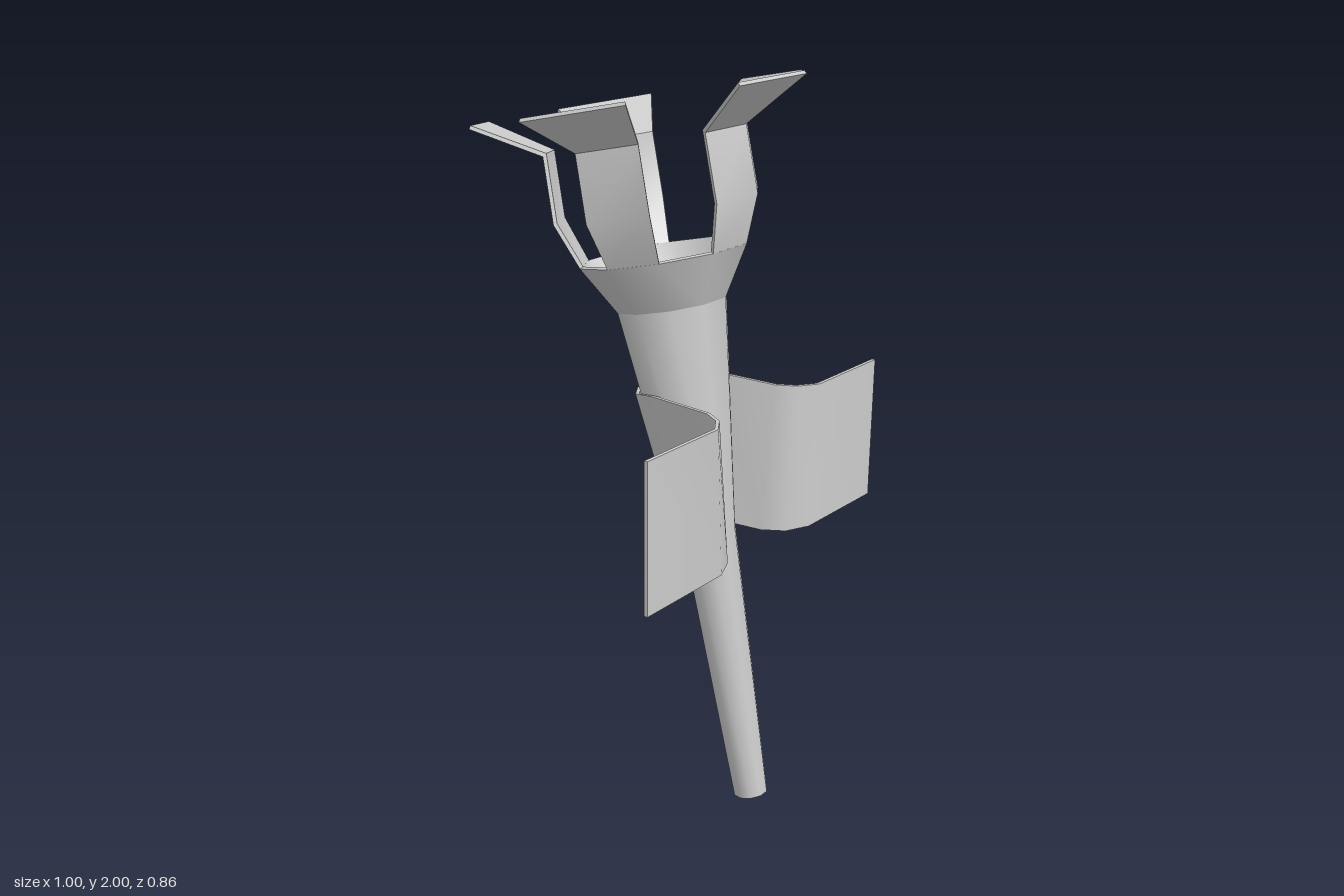
import * as THREE from 'three';
import { toCreasedNormals } from 'three/addons/utils/BufferGeometryUtils.js';

const material = new THREE.MeshStandardMaterial({ color: 0xcccccc });
const SIDES = 10;
const HALF = Math.PI / SIDES; // half the angle of one side
const TILT = 0.21;

function mesh(name, geometry) {
  const m = new THREE.Mesh(toCreasedNormals(geometry, 0.7), material);
  m.name = name;
  return m;
}

// Ten-sided turned part from a [radius, height] profile, flat side to the front
function turned(name, profile) {
  const points = profile.map(([r, y]) => new THREE.Vector2(r, y));
  return mesh(name, new THREE.LatheGeometry(points, SIDES, HALF));
}

// Bent petal: its side profile extruded, then widened with distance from the axis
function petalGeometry() {
  const profile = [
    [0.2175, 0.1325], [0.264, 0.2555], [0.2606, 0.43], [0.4246, 0.528],
    [0.4195, 0.5365], [0.2506, 0.437], [0.254, 0.2575], [0.2085, 0.137],
  ];
  const shape = new THREE.Shape(profile.map(([x, y]) => new THREE.Vector2(x, y)));
  const geometry = new THREE.ExtrudeGeometry(shape, { depth: 1, bevelEnabled: false });
  const p = geometry.attributes.position;
  for (let i = 0; i < p.count; i++) {
    p.setZ(i, (p.getZ(i) * 2 - 1) * p.getX(i) * Math.tan(HALF));
  }
  geometry.computeVertexNormals();
  return geometry;
}

// One edge of the strap: flat wing, curve, round the back of the shaft, mirrored
function strapEdge(wing, radius, y, zAxis) {
  const half = wing.map(([x, z]) => new THREE.Vector3(x, y, z));
  for (const k of [5, 7, 9]) {
    const back = -radius * Math.cos(k * HALF);
    half.push(new THREE.Vector3(
      radius * Math.sin(k * HALF), y - back * Math.sin(TILT), zAxis - back * Math.cos(TILT)));
  }
  const mirrored = half.map((v) => new THREE.Vector3(-v.x, v.y, v.z)).reverse();
  return [...half, ...mirrored];
}

// Point moved sideways from the edge path by a distance
function offset(path, i, distance) {
  const a = path[Math.max(i - 1, 0)];
  const b = path[Math.min(i + 1, path.length - 1)];
  const n = new THREE.Vector3(a.z - b.z, 0, b.x - a.x).normalize();
  return path[i].clone().addScaledVector(n, distance);
}

// Thin plate between the upper and lower edge paths
function strapGeometry(top, bottom, thickness) {
  const t = thickness / 2;
  const sections = top.map((_, i) => [
    offset(top, i, t), offset(bottom, i, t), offset(bottom, i, -t), offset(top, i, -t),
  ]);
  const positions = [];
  const quad = (a, b, c, d) => {
    for (const v of [a, b, c, a, c, d]) positions.push(v.x, v.y, v.z);
  };
  for (let i = 0; i < sections.length - 1; i++) {
    const p = sections[i], q = sections[i + 1];
    for (let k = 0; k < 4; k++) {
      const n = (k + 1) % 4;
      quad(p[k], p[n], q[n], q[k]);
    }
  }
  const [a, b, c, d] = sections[0];
  quad(a, d, c, b);
  quad(...sections[sections.length - 1]);
  const geometry = new THREE.BufferGeometry();
  geometry.setAttribute('position', new THREE.Float32BufferAttribute(positions, 3));
  geometry.computeVertexNormals();
  return geometry;
}

export function createModel() {
  const model = new THREE.Group();
  model.name = 'wallTorch';

  // Tilted torch, with its origin at the collar
  const torch = new THREE.Group();
  torch.name = 'torch';
  torch.position.set(0, 1.395, 0.095);
  torch.rotation.x = -TILT;
  model.add(torch);

  // Hollow tapered shaft
  torch.add(turned('shaft', [
    [0, -1.411], [0.048, -1.411], [0.076, -0.63], [0.15, 0],
    [0.14, 0], [0.066, -0.63], [0.038, -1.39], [0, -1.39],
  ]));

  // Flared cup
  torch.add(turned('cup', [[0.15, 0], [0.229, 0.1325], [0.219, 0.137], [0.14, 0]]));

  // Five petals on every other side of the cup
  const petal = petalGeometry();
  for (let i = 0; i < 5; i++) {
    const m = mesh('petal', petal);
    m.rotation.y = i * 4 * HALF - Math.PI / 2;
    torch.add(m);
  }

  // Wall strap around the back of the shaft
  const top = strapEdge(
    [[0.5, 0.416], [0.225, 0.414], [0.175, 0.38], [0.147, 0.33]], 0.134, 1.18, 0.141);
  const bottom = strapEdge(
    [[0.5, 0.416], [0.2, 0.414], [0.135, 0.385], [0.1, 0.33]], 0.085, 0.775, 0.2275);
  model.add(mesh('wallStrap', strapGeometry(top, bottom, 0.01)));

  return model;
}
